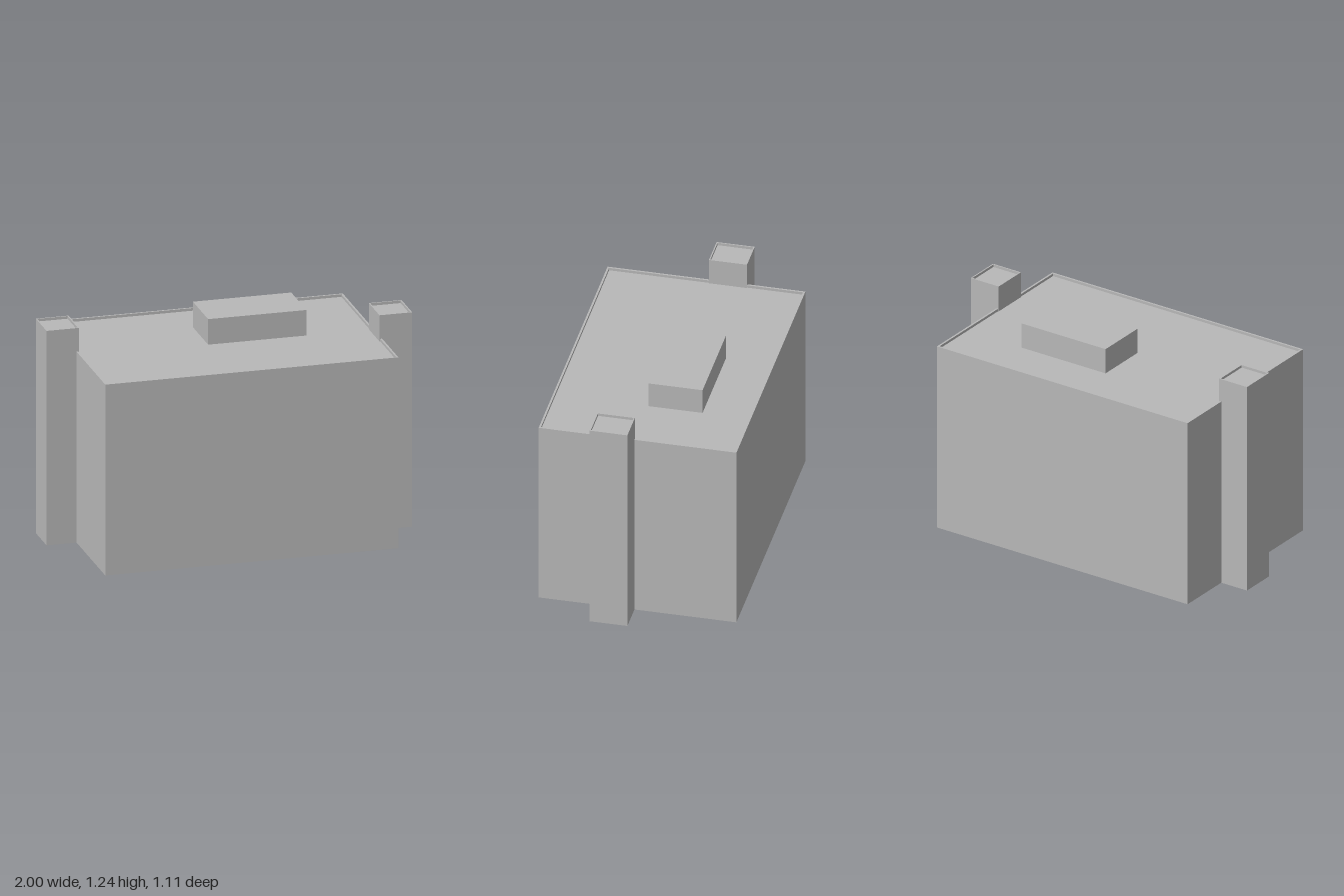
import * as THREE from 'three';

const wallGrey = new THREE.MeshStandardMaterial({ color: 0xb8b8b8, side: THREE.DoubleSide });

// Rectangular shell, open underneath, with a thin rim around a sunken roof
function block(name, x0, x1, y0, y1, z0, z1, rim = 0, sink = 0) {
  const rings = [[y0, 0], [y1, 0]];
  if (rim) rings.push([y1, rim], [y1 - sink, rim]);
  const pos = [];
  for (const [y, d] of rings) {
    pos.push(x0 + d, y, z1 - d, x1 - d, y, z1 - d, x1 - d, y, z0 + d, x0 + d, y, z0 + d);
  }
  const index = [];
  for (let r = 0; r < rings.length - 1; r++) {
    for (let i = 0; i < 4; i++) {
      const j = (i + 1) % 4;
      const a = r * 4 + i, b = r * 4 + j;
      index.push(a, b, b + 4, a, b + 4, a + 4);
    }
  }
  const t = (rings.length - 1) * 4; // roof
  index.push(t, t + 1, t + 2, t, t + 2, t + 3);
  const indexed = new THREE.BufferGeometry();
  indexed.setAttribute('position', new THREE.Float32BufferAttribute(pos, 3));
  indexed.setIndex(index);
  const geometry = indexed.toNonIndexed();
  geometry.computeVertexNormals();
  const mesh = new THREE.Mesh(geometry, wallGrey);
  mesh.name = name;
  return mesh;
}

export function createModel() {
  const model = new THREE.Group();
  model.name = 'building';

  // Main hall with parapet
  model.add(block('mainHall', -0.83, 0.83, 0, 1.1, -0.553, 0.553, 0.011, 0.015));

  // Stair towers, diagonally opposite on the two ends
  model.add(block('leftTower', 0.815, 1, 0, 1.236, 0.017, 0.23, 0.007, 0.015));
  model.add(block('rightTower', -1, -0.815, 0, 1.236, -0.23, -0.017, 0.007, 0.015));

  // Plant room standing on the sunken roof
  model.add(block('roofPlantRoom', -0.097, 0.46, 1.085, 1.232, -0.278, 0.025));

  return model;
}
